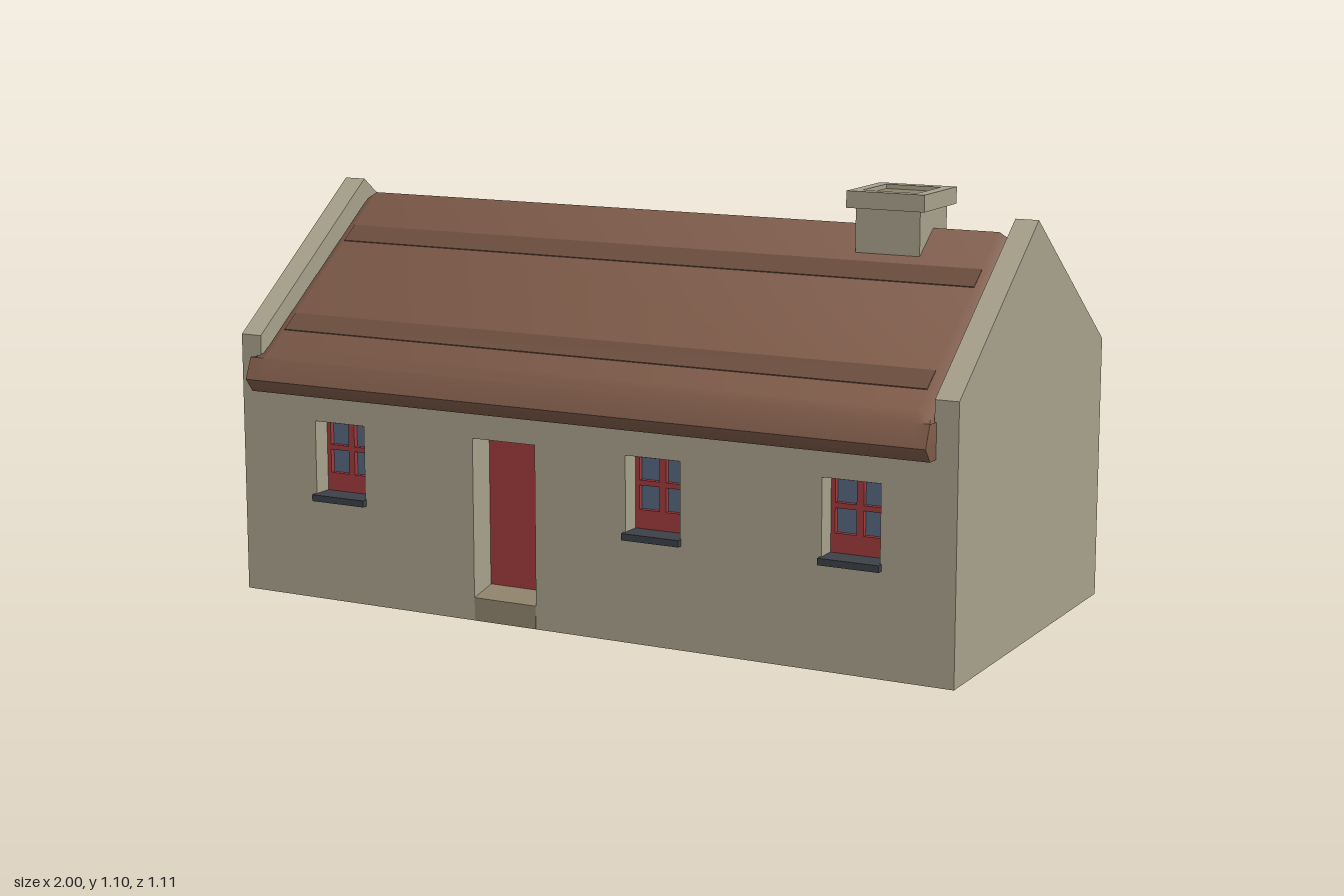
import * as THREE from 'three';
import { toCreasedNormals } from 'three/addons/utils/BufferGeometryUtils.js';

const mat = (color) => new THREE.MeshStandardMaterial({ color });
const M = {
  wall: mat(0xa8a18c), inner: mat(0x8f836c), thatch: mat(0x7d5a48), band: mat(0x6d4f40),
  red: mat(0xa03a3c), glass: mat(0x56677f), sill: mat(0x3c4046),
};

function add(parent, name, geometry, material, x = 0, y = 0, z = 0) {
  const mesh = new THREE.Mesh(geometry, material);
  mesh.name = name;
  mesh.position.set(x, y, z);
  parent.add(mesh);
  return mesh;
}

const polygon = (pts) => new THREE.Shape(pts.map(([a, b]) => new THREE.Vector2(a, b)));
const rect = (x0, x1, y0, y1) => [[x0, y0], [x1, y0], [x1, y1], [x0, y1]];

// Upright slab with rectangular openings, from z = 0 to z = depth
function slab(outline, holes, depth) {
  const shape = polygon(outline);
  holes.forEach((h) => shape.holes.push(polygon(h)));
  return new THREE.ExtrudeGeometry(shape, { depth, bevelEnabled: false });
}

// Profile of [z, y] points swept along x
function alongX(profile, x0, x1) {
  return slab(profile, [], x1 - x0).rotateY(-Math.PI / 2).translate(x1, 0, 0);
}

const WINDOWS = [-0.7, 0.21, 0.735];
const roofY = (z) => 1.005 - 0.714 * Math.abs(z);

// Four-pane window with a solid bottom panel and a projecting sill
function makeWindow(x) {
  const g = new THREE.Group();
  g.name = 'window';
  g.position.x = x;
  const panes = [];
  for (const s of [-1, 1]) {
    for (const [y0, y1] of [[0.326, 0.387], [0.4, 0.457]]) {
      panes.push(rect(s * 0.0365 - 0.0275, s * 0.0365 + 0.0275, y0, y1));
    }
  }
  add(g, 'windowFrame', slab(rect(-0.075, 0.075, 0.27, 0.47), panes, 0.02), M.red, 0, 0, 0.418);
  add(g, 'windowGlass', new THREE.BoxGeometry(0.14, 0.15, 0.015), M.glass, 0, 0.39, 0.417);
  add(g, 'windowSill', new THREE.BoxGeometry(0.157, 0.017, 0.087), M.sill, 0, 0.27, 0.4635);
  return g;
}

// Long wall facing +z with its windows and optional door
function makeLongWall(name, xs, hasDoor) {
  const g = new THREE.Group();
  g.name = name;
  const holes = xs.map((x) => rect(x - 0.075, x + 0.075, 0.27, 0.47));
  if (hasDoor) holes.push(rect(-0.3, -0.12, 0.06, 0.47));
  add(g, 'wallFace', slab(rect(-0.97, 0.97, 0, 0.62), holes, 0.09), M.wall, 0, 0, 0.4);
  xs.forEach((x) => g.add(makeWindow(x)));
  if (hasDoor) {
    add(g, 'door', new THREE.BoxGeometry(0.18, 0.41, 0.02), M.red, -0.21, 0.265, 0.4);
    const step = [[0.395, 0.001], [0.491, 0.001], [0.491, 0.06], [0.395, 0.08]];
    add(g, 'doorStep', alongX(step, -0.299, -0.121), M.inner);
  }
  return g;
}

// Thatch: closed loops lofted along x, verges dropped, ends closed to a point
function makeThatch() {
  const half = [[0.47, 0.54], [0.525, 0.54], [0.553, 0.575], [0.53, 0.63], [0.49, 0.655]];
  const back = half.map(([z, y]) => [-z, y]).reverse();
  const loop = [...half, [0, 1.005], ...back];
  const n = loop.length;
  const section = (x, drop) => loop.map(([z, y]) => [x, y - (y > 0.64 ? drop : 0), z]);
  const centre = (x) => loop.map(() => [x, 0.6, 0]);
  const rows = [
    centre(-0.945), section(-0.945, 0.04), section(-0.93, 0.018), section(-0.9, 0),
    section(0.9, 0), section(0.93, 0.018), section(0.945, 0.04), centre(0.945),
  ];
  const index = [];
  for (let r = 0; r < rows.length - 1; r++) {
    for (let i = 0; i < n; i++) {
      const j = (i + 1) % n;
      const a = r * n + i, b = r * n + j, c = a + n, d = b + n;
      if (r > 0) index.push(a, c, b);
      if (r < rows.length - 2) index.push(b, c, d);
      // end caps keep only the triangle with area
      if (r === 0) index.push(a, c, d);
      if (r === 0) index.splice(-6, 3);
      if (r === rows.length - 2) index.splice(-3, 3, a, c, b);
    }
  }
  const geo = new THREE.BufferGeometry();
  geo.setAttribute('position', new THREE.Float32BufferAttribute(rows.flat(2), 3));
  geo.setIndex(index);
  return toCreasedNormals(geo, 1.0);
}

export function createModel() {
  const model = new THREE.Group();
  model.name = 'cottage';

  // Solid core behind the window and door recesses
  const core = [[-0.4, 0], [0.4, 0], [0.4, 0.68], [0, 0.96], [-0.4, 0.68]];
  add(model, 'core', alongX(core, -0.95, 0.95), M.wall);
  model.add(makeLongWall('frontWall', WINDOWS, true));
  const rear = makeLongWall('backWall', WINDOWS.map((x) => -x), false);
  rear.rotation.y = Math.PI;
  model.add(rear);

  // Gable walls rising above the roof
  const gable = [[-0.49, 0], [0.49, 0], [0.49, 0.68], [0, 1.04], [-0.49, 0.68]];
  add(model, 'leftGable', alongX(gable, 0.94, 1), M.wall);
  add(model, 'rightGable', alongX(gable, -1, -0.94), M.wall);

  // Thatched roof with two darker bands on each slope
  add(model, 'thatch', makeThatch(), M.thatch);
  for (const side of [-1, 1]) {
    for (const [z0, z1] of [[0.11, 0.16], [0.39, 0.44]]) {
      const strip = [[z0, -0.01], [z1, -0.01], [z1, 0.002], [z0, 0.002]]
        .map(([z, dy]) => [side * z, roofY(z) + dy]);
      add(model, 'thatchBand', alongX(strip, -0.9, 0.9), M.band);
    }
  }

  // Chimney with a recessed cap
  const chimney = new THREE.Group();
  chimney.name = 'chimney';
  chimney.position.x = 0.643;
  add(chimney, 'chimneyStack', new THREE.BoxGeometry(0.17, 0.19, 0.17), M.wall, 0, 0.965, 0);
  const rim = slab(rect(-0.103, 0.103, -0.103, 0.103), [rect(-0.073, 0.073, -0.073, 0.073)], 0.042);
  add(chimney, 'chimneyCap', rim.rotateX(-Math.PI / 2), M.wall, 0, 1.055, 0);
  add(chimney, 'chimneyTop', new THREE.BoxGeometry(0.15, 0.03, 0.15), M.inner, 0, 1.071, 0);
  model.add(chimney);

  return model;
}
